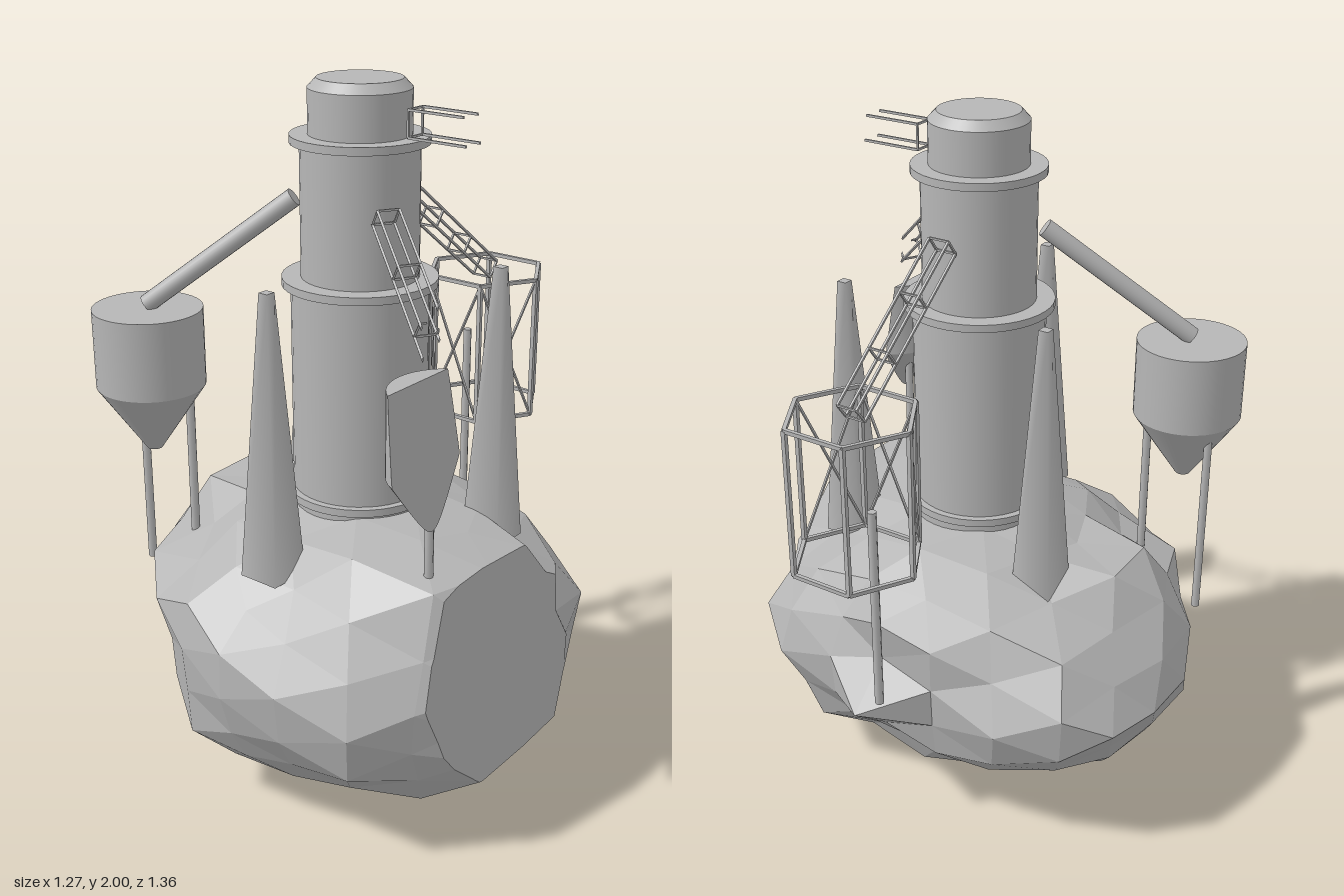
import * as THREE from 'three';
import { mergeGeometries } from 'three/addons/utils/BufferGeometryUtils.js';

const V = (x, y, z) => new THREE.Vector3(x, y, z);
const grey = new THREE.MeshStandardMaterial({ color: 0xb6b6b6 });
grey.name = 'grey';
const TX = 0.067, TZ = 0.08; // tower axis

// Everything past this sheer plane on the +x side is cut away
const planeX = (y) => 0.665 - 0.13 * y;
const past = (p) => p.x - planeX(p.y);

// Cuts a closed geometry at the plane and caps the opening
function slice(geometry) {
  const src = geometry.index ? geometry.toNonIndexed() : geometry;
  const P = src.attributes.position, N = src.attributes.normal;
  const pos = [], nor = [], edges = [];
  const put = (p, n) => { pos.push(p.x, p.y, p.z); nor.push(n.x, n.y, n.z); };
  for (let i = 0; i < P.count; i += 3) {
    const tri = [0, 1, 2].map((k) => ({
      p: V().fromBufferAttribute(P, i + k), n: V().fromBufferAttribute(N, i + k),
    }));
    const poly = [], cut = [];
    tri.forEach((a, k) => {
      const b = tri[(k + 1) % 3], da = past(a.p), db = past(b.p);
      if (da <= 0) poly.push(a);
      if ((da <= 0) !== (db <= 0)) {
        const t = da / (da - db);
        const c = { p: a.p.clone().lerp(b.p, t), n: a.n.clone().lerp(b.n, t).normalize() };
        poly.push(c);
        cut.push(c.p);
      }
    });
    for (let k = 2; k < poly.length; k++) [poly[0], poly[k - 1], poly[k]].forEach((v) => put(v.p, v.n));
    if (cut.length === 2) edges.push(cut);
  }
  const mid = V(0, 0, 0), n = V(1, 0.13, 0).normalize();
  edges.forEach(([a, b]) => mid.addScaledVector(a, 0.5 / edges.length).addScaledVector(b, 0.5 / edges.length));
  for (const [a, b] of edges) {
    const facing = b.clone().sub(a).cross(mid.clone().sub(a)).dot(n) > 0;
    (facing ? [a, b, mid] : [b, a, mid]).forEach((p) => put(p, n));
  }
  const out = new THREE.BufferGeometry();
  out.setAttribute('position', new THREE.Float32BufferAttribute(pos, 3));
  out.setAttribute('normal', new THREE.Float32BufferAttribute(nor, 3));
  return out;
}

// Merges the parts that survive the cut into one mesh
function cutMesh(name, geometries) {
  const kept = geometries.map(slice).filter((g) => g.attributes.position.count > 0);
  const mesh = new THREE.Mesh(mergeGeometries(kept), grey);
  mesh.name = name;
  return mesh;
}

// Upright cylinder between two heights
const drum = (x, z, y0, y1, r0, r1 = r0, sides = 40) =>
  new THREE.CylinderGeometry(r1, r0, y1 - y0, sides).translate(x, (y0 + y1) / 2, z);

// Square bar or round tube between two points
function span(geometry, axis, a, b) {
  const q = new THREE.Quaternion().setFromUnitVectors(axis, b.clone().sub(a).normalize());
  const m = a.clone().add(b).multiplyScalar(0.5);
  return geometry.applyQuaternion(q).translate(m.x, m.y, m.z);
}
const bar = (a, b, w) => span(new THREE.BoxGeometry(w, w, a.distanceTo(b)), V(0, 0, 1), a, b);

// Square lattice boom: four rails and a ring at each third
function truss(name, a, b, halfHeight) {
  const dir = b.clone().sub(a).normalize();
  const side = V(dir.z, 0, -dir.x).normalize().multiplyScalar(0.03);
  const up = side.clone().cross(dir).normalize().multiplyScalar(halfHeight);
  const corner = (t, k) => a.clone().lerp(b, t)
    .addScaledVector(side, k === 0 || k === 3 ? 1 : -1)
    .addScaledVector(up, k < 2 ? 1 : -1);
  const bars = [];
  for (let k = 0; k < 4; k++) {
    bars.push(bar(corner(0, k), corner(1, k), 0.0065));
    for (let r = 0; r <= 3; r++) bars.push(bar(corner(r / 3, k), corner(r / 3, (k + 1) % 4), 0.0055));
  }
  return cutMesh(name, bars);
}

// Faceted boulder: an icosphere pulled to guide points, with seeded bumps between them
function rock() {
  const c = V(TX, 0.44, TZ), axes = V(0.7, 0.44, 0.6);
  const front = [[-0.65, 0.45], [-0.59, 0.65], [-0.47, 0.77], [-0.23, 0.8], [-0.12, 0.86], [0.07, 0.84],
    [0.33, 0.82], [0.58, 0.13], [0.4, 0.06], [0.067, 0], [-0.25, 0.08], [-0.47, 0.13], [-0.57, 0.28]];
  const side = [[0.68, 0.55], [0.66, 0.36], [0.54, 0.15], [0.33, 0.07], [-0.26, 0.07], [-0.29, 0.2],
    [-0.43, 0.33], [-0.42, 0.57], [-0.44, 0.68], [-0.28, 0.79], [-0.07, 0.84], [0.4, 0.78], [0.52, 0.7]];
  const plan = [[-0.65, -0.09], [-0.54, -0.34], [-0.32, -0.44], [-0.09, -0.42], [0.067, -0.57], [0.25, -0.43],
    [0.45, -0.42], [0.56, -0.34], [0.8, 0.13], [0.61, 0.45], [0.47, 0.62], [0.067, 0.675],
    [-0.14, 0.63], [-0.34, 0.47], [-0.52, 0.2]];
  const cutEdge = [[0.45, 0.6], [0.33, 0.79], [0.17, 0.81], [-0.02, 0.79], [-0.1, 0.7], [-0.18, 0.5],
    [-0.16, 0.36], [-0.15, 0.23], [0.03, 0.22], [0.25, 0.21], [0.43, 0.39]];
  // shoulders and corners between the outlines
  const corners = [[-0.43, 0.6, 0.45], [-0.41, 0.38, 0.41], [-0.32, 0.2, 0.33], [-0.36, 0.66, 0.33],
    [0.33, 0.81, 0.4], [0.45, 0.71, -0.13]];
  const guides = [
    ...front.map(([x, y]) => V(x, y, TZ)),
    ...side.map(([z, y]) => V(TX, y, z)),
    ...plan.map(([x, z]) => V(x, 0.44, z)),
    ...cutEdge.map(([z, y]) => V(planeX(y), y, z)),
    ...corners.map((p) => V(...p)),
  ].map((p) => {
    const q = p.sub(c).divide(axes);
    return { r: q.length(), d: q.clone().normalize() };
  });
  const hash = (v) => {
    const k = (t) => Math.round(t * 1000);
    const s = Math.sin(k(v.x) * 12.9898 + k(v.y) * 78.233 + k(v.z) * 37.719) * 43758.5453;
    return s - Math.floor(s);
  };
  const g = new THREE.IcosahedronGeometry(1, 3), P = g.attributes.position, base = 90;
  for (let i = 0; i < P.count; i++) {
    const d = V().fromBufferAttribute(P, i).normalize();
    let sum = base, r = base;
    for (const guide of guides) {
      const w = 1 / (guide.d.distanceToSquared(d) + 0.003) ** 2;
      sum += w;
      r += w * guide.r;
    }
    r = r / sum + (hash(d) - 0.5) * 0.22 * (base / sum + 0.2);
    const p = d.multiplyScalar(r).multiply(axes).add(c);
    P.setXYZ(i, p.x, Math.max(0, p.y), p.z);
  }
  g.computeVertexNormals();
  return cutMesh('rock', [g]);
}

// Round hopper with a conical bottom
const hopper = (name, x, z) => cutMesh(name, [
  drum(x, z, 1.13, 1.355, 0.155),
  drum(x, z, 0.935, 1.13, 0.022, 0.155),
]);

export function createModel() {
  const model = new THREE.Group();
  const add = (name, geometry) => {
    const mesh = new THREE.Mesh(geometry, grey);
    mesh.name = name;
    model.add(mesh);
  };
  model.add(rock());

  // Stepped tower with flanges
  add('lowerTower', drum(TX, TZ, 0.8, 1.465, 0.188));
  add('upperTower', drum(TX, TZ, 1.465, 1.845, 0.16));
  add('towerCap', drum(TX, TZ, 1.845, 1.975, 0.1375));
  add('capBevel', drum(TX, TZ, 1.975, 2, 0.1375, 0.114));
  [[0.862, 0.208], [1.465, 0.212], [1.845, 0.186]].forEach(([y, r]) =>
    add('flange', drum(TX, TZ, y - 0.011, y + 0.011, r)));
  add('baseSkirt', drum(TX, TZ, 0.825, 0.851, 0.2));

  // Square tapering spires, softly shaded
  [[-0.257, -0.108], [0.393, -0.108], [TX, 0.453]].forEach(([x, z]) => {
    const g = new THREE.CylinderGeometry(0.02, 0.086, 0.79, 4).rotateY(Math.PI / 4);
    add('spire', g.translate(x, 1.12, z));
  });

  // Hoppers either side; the right one is mostly cut away
  const hz = 0.38, leftX = -0.45, rightX = 0.585;
  model.add(hopper('leftHopper', leftX, hz), hopper('rightHopper', rightX, hz));
  [[leftX - 0.097, hz - 0.055, 0.53], [leftX + 0.095, hz - 0.055, 0.66], [rightX - 0.095, hz - 0.055, 0.74],
    [-0.028, -0.575, 0.53]].forEach(([x, z, y]) => add('supportLeg', drum(x, z, y, 1.13, 0.0125, 0.0125, 8)));

  // Feed pipe and lattice booms from the tower
  const a = V(-0.09, 1.68, 0.165), b = V(leftX, 1.365, hz);
  add('feedPipe', span(new THREE.CylinderGeometry(0.026, 0.026, a.distanceTo(b), 20), V(0, 1, 0), a, b));
  model.add(
    truss('rightBoom', V(0.225, 1.677, 0.172), V(rightX, 1.36, hz), 0.027),
    truss('backBoom', V(TX, 1.677, -0.1), V(TX, 1.36, -0.52), 0.027),
    truss('topBoom', V(0.245, 1.905, TZ), V(0.9, 1.905, TZ), 0.035),
  );

  // Hexagonal frame at the back, braced on the faces toward the tower
  const at = (k, y) => V(TX + 0.18 * Math.cos(k * Math.PI / 3), y, -0.52 + 0.18 * Math.sin(k * Math.PI / 3));
  const bars = [], lo = 0.93, hi = 1.353;
  for (let k = 0; k < 6; k++) {
    bars.push(bar(at(k, lo), at(k, hi), 0.012), bar(at(k, lo), at(k + 1, lo), 0.011), bar(at(k, hi), at(k + 1, hi), 0.011));
    if (k < 3) bars.push(bar(at(k, lo), at(k + 1, hi), 0.006), bar(at(k, hi), at(k + 1, lo), 0.006));
  }
  model.add(cutMesh('hexFrame', bars));
  return model;
}
